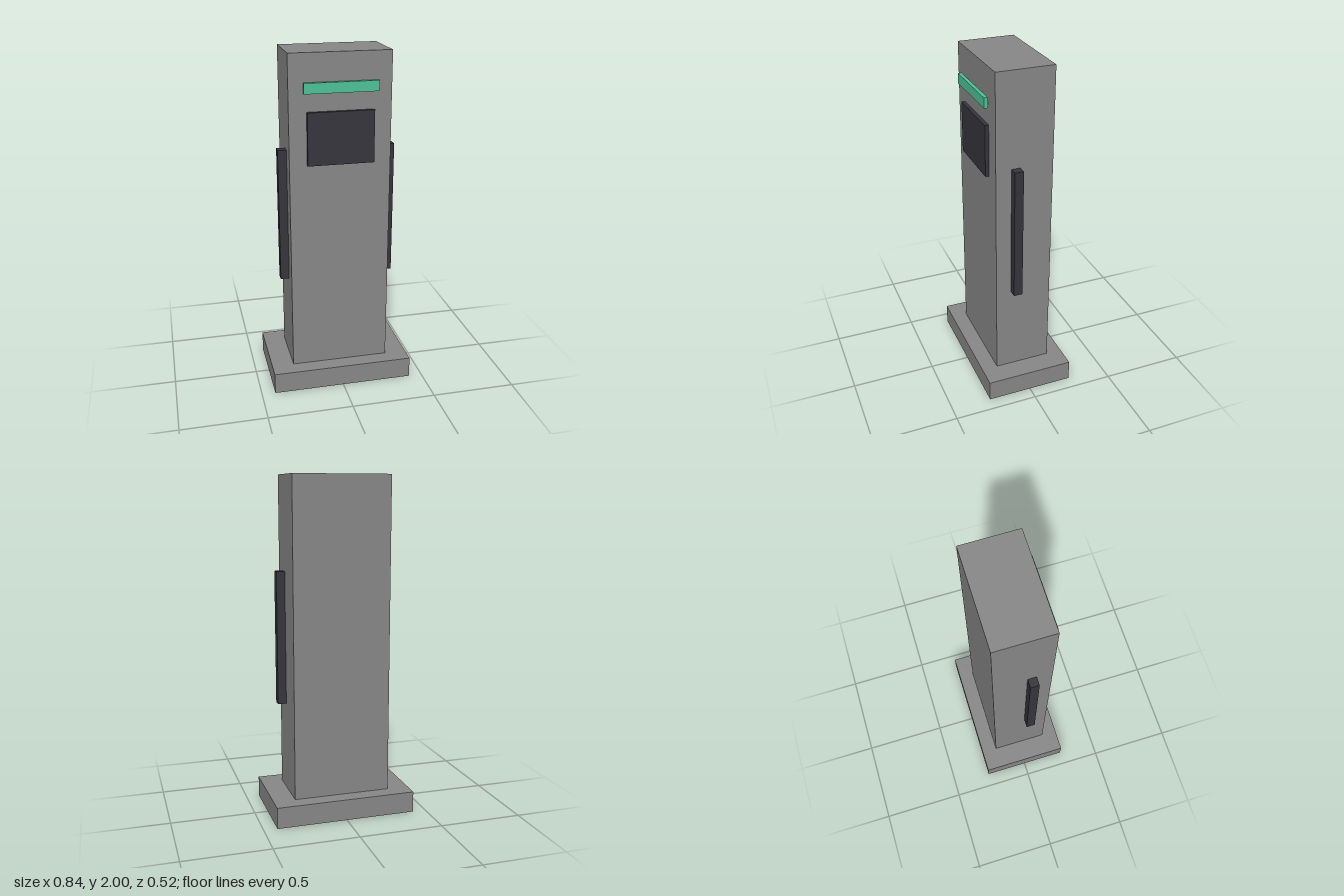
import * as THREE from 'three';

export function createModel() {
  const group = new THREE.Group();
  const material = (name, color) => {
    const m = new THREE.MeshStandardMaterial({ color });
    m.name = name;
    return m;
  };
  const grey = material('grey casing', 0x888888);
  const dark = material('dark panel', 0x36353c);
  const green = material('green light', 0x4dc398);

  // Box given by its lower and upper corners
  const box = (name, mat, [x0, y0, z0], [x1, y1, z1]) => {
    const mesh = new THREE.Mesh(new THREE.BoxGeometry(x1 - x0, y1 - y0, z1 - z0), mat);
    mesh.position.set((x0 + x1) / 2, (y0 + y1) / 2, (z0 + z1) / 2);
    mesh.name = name;
    group.add(mesh);
  };

  // Plinth and upright casing
  box('base', grey, [-0.42, 0, -0.262], [0.42, 0.126, 0.262]);
  box('column', grey, [-0.29, 0.126, -0.168], [0.29, 2, 0.167]);

  // Front display, and the light strip standing just clear of the casing
  box('screen', dark, [-0.19, 1.38, 0.16], [0.19, 1.68, 0.189]);
  box('lightStrip', green, [-0.21, 1.784, 0.178], [0.21, 1.843, 0.199]);

  // Side rails, mirrored
  box('leftRail', dark, [0.288, 0.66, 0.025], [0.34, 1.45, 0.077]);
  box('rightRail', dark, [-0.34, 0.66, 0.025], [-0.288, 1.45, 0.077]);

  return group;
}
